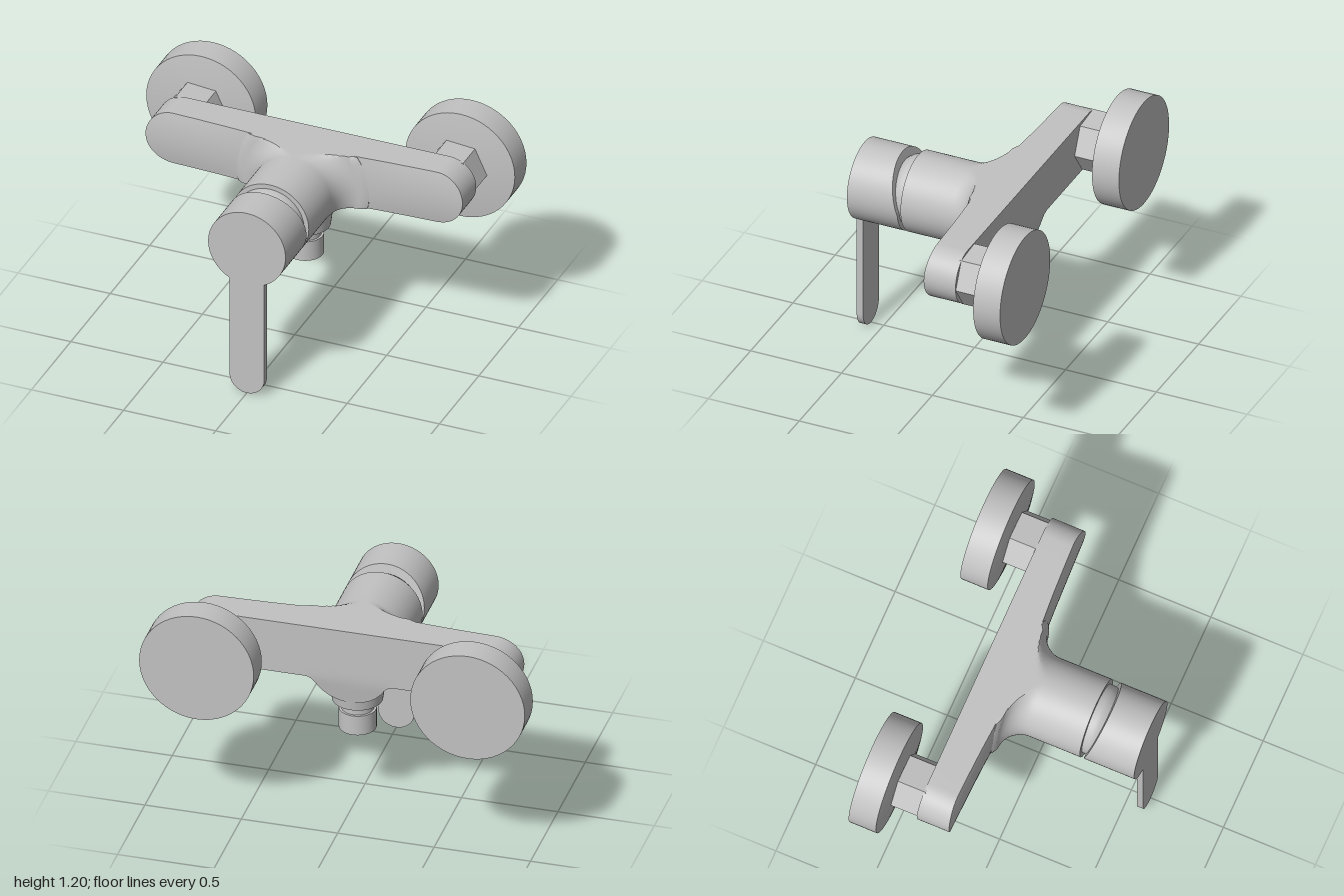
import * as THREE from 'three';
import { toCreasedNormals } from 'three/addons/utils/BufferGeometryUtils.js';

const CREASE = 0.6;
const AXIS_Y = 0.84, R = 0.21;     // central barrel
const BAR_Y = 0.905, BAR_H = 0.145; // horizontal bar

// Underside of the body: barrel arc, small fillet, then the flat bar.
function underside(x) {
  const a = Math.abs(x);
  if (a < 0.18) return AXIS_Y - Math.sqrt(R * R - a * a);
  if (a < 0.231) return 0.70 + Math.sqrt(0.0036 - (a - 0.231) ** 2);
  return BAR_Y - BAR_H;
}

// Slightly domed front of the bar, falling back towards the ends.
function barFront(x, y) {
  const a = Math.abs(x), dy = (Math.max(y, 0.76) - BAR_Y) / BAR_H;
  return -0.09 - 0.03 * a / 0.86 - 0.015 * dy * dy * Math.min(1, a / 0.5);
}

// Bar lofted from closed cross-sections along x.
function barGeometry() {
  const half = [];
  for (let i = 0; i <= 20; i++) half.push(0.3 * i / 20);
  half.push(0.45, 0.6);
  for (let i = 0; i <= 14; i++) half.push(0.715 + 0.145 * Math.sin(i / 14 * Math.PI / 2));
  const xs = [...half.slice(1).reverse().map(x => -x), ...half];
  const n = 12, loop = 2 * (n + 1), pos = [], idx = [];
  xs.forEach((x, i) => {
    const over = Math.max(0, Math.abs(x) - 0.715);
    const h = Math.sqrt(Math.max(0, BAR_H * BAR_H - over * over));
    const top = BAR_Y + h, bottom = over > 0 ? BAR_Y - h : underside(x);
    for (let j = 0; j < loop; j++) {
      const t = j <= n ? j / n : (loop - 1 - j) / n;
      const y = bottom + (top - bottom) * t;
      const back = -0.295 + 0.02 * Math.max(0, 0.76 - y) / 0.13;
      pos.push(x, y, j <= n ? barFront(x, y) : back);
      if (i < xs.length - 1) {
        const k = (j + 1) % loop, a = i * loop, b = a + loop;
        idx.push(a + j, b + j, b + k, a + j, b + k, a + k);
      }
    }
  });
  const g = new THREE.BufferGeometry();
  g.setAttribute('position', new THREE.Float32BufferAttribute(pos, 3));
  g.setIndex(idx);
  return toCreasedNormals(g, CREASE);
}

// Turned part; the profile is [radius, height] from bottom to top.
function turned(profile, segments = 48) {
  return new THREE.LatheGeometry(profile.map(p => new THREE.Vector2(...p)), segments);
}

// Turned part whose axis is z, with an optional rule to move its vertices.
function turnedZ(profile, x, y, move, segments) {
  const g = turned(profile, segments).rotateX(Math.PI / 2).translate(x, y, 0);
  if (move) {
    const p = g.attributes.position, v = new THREE.Vector3();
    for (let i = 0; i < p.count; i++) {
      move(v.fromBufferAttribute(p, i));
      p.setXYZ(i, v.x, v.y, v.z);
    }
  }
  return toCreasedNormals(g, CREASE);
}

export function createModel() {
  const group = new THREE.Group();
  const metal = new THREE.MeshStandardMaterial({ color: 0xc2c2c2 });
  metal.name = 'satin metal';
  const add = (name, geometry) => {
    const mesh = new THREE.Mesh(geometry, metal);
    mesh.name = name;
    group.add(mesh);
    return mesh;
  };

  add('bar', barGeometry());

  // Barrel with a flared root that stays within the bar's outline
  const barrel = [[0.36, -0.13], [0.36, -0.105]];
  for (let i = 0; i <= 10; i++) {
    const t = i / 10 * Math.PI / 2;
    barrel.push([0.33 - 0.12 * Math.sin(t), 0.03 - 0.12 * Math.cos(t)]);
  }
  barrel.push([R, 0.31], [0, 0.31]);
  add('barrel', turnedZ(barrel, 0, AXIS_Y, v => {
    v.y = Math.min(BAR_Y + BAR_H, Math.max(v.y, underside(v.x)));
  }, 72));

  // Domed cartridge neck between barrel and handle
  add('cartridgeNeck', turnedZ(
    [[0.185, 0.30], [0.185, 0.34], [0.178, 0.36], [0.16, 0.385], [0.14, 0.41], [0, 0.42]], 0, AXIS_Y));

  // Handle cap with its upper rear edge cut at a slant
  add('handleCap', turnedZ([[0, 0.33], [R, 0.33], [R, 0.605], [0, 0.605]], 0, AXIS_Y, v => {
    if (v.z < 0.5) v.z += 0.065 * Math.max(0, v.y - 0.8) / 0.25;
  }, 64));

  // Flat lever with a rounded tip
  const w = 0.094, lever = new THREE.Shape();
  lever.moveTo(w, 0.7);
  lever.lineTo(-w, 0.7);
  lever.lineTo(-w, w);
  lever.absarc(0, w, w, Math.PI, 2 * Math.PI, false);
  lever.closePath();
  const leverGeometry = new THREE.ExtrudeGeometry(lever, { depth: 0.035, bevelEnabled: false, curveSegments: 24 });
  add('lever', toCreasedNormals(leverGeometry.translate(0, 0, 0.57), CREASE));

  // Small grub screw plug under the handle
  add('handlePlug', toCreasedNormals(
    turned([[0, 0.608], [0.022, 0.61], [0.037, 0.622], [0.037, 0.66]], 24).translate(0, 0, 0.44), CREASE));

  // Hose outlet: tapered collar, neck and threaded end
  add('outletCollar', toCreasedNormals(
    turned([[0, 0.58], [0.128, 0.58], [0.147, 0.72], [0, 0.72]]).translate(0, 0, -0.137), CREASE));
  add('outlet', toCreasedNormals(turned([
    [0, 0.415], [0.095, 0.415], [0.095, 0.525], [0.083, 0.525],
    [0.083, 0.57], [0.093, 0.57], [0.093, 0.59],
  ]).translate(0, 0, -0.134), CREASE));

  // Wall connections, one at each end
  for (const side of [-1, 1]) {
    const label = side > 0 ? 'left' : 'right', x = 0.703 * side;
    add(label + 'WallPlate', turnedZ(
      [[0, -0.605], [0.297, -0.605], [0.297, -0.457], [0.16, -0.437], [0, -0.437]], x, BAR_Y, null, 56));
    const nut = new THREE.CylinderGeometry(0.155, 0.155, 0.16, 6).toNonIndexed();
    nut.rotateX(Math.PI / 2).rotateZ(Math.PI / 2 - 0.09).translate(x, BAR_Y, -0.365);
    add(label + 'HexNut', toCreasedNormals(nut, CREASE));
  }
  return group;
}
